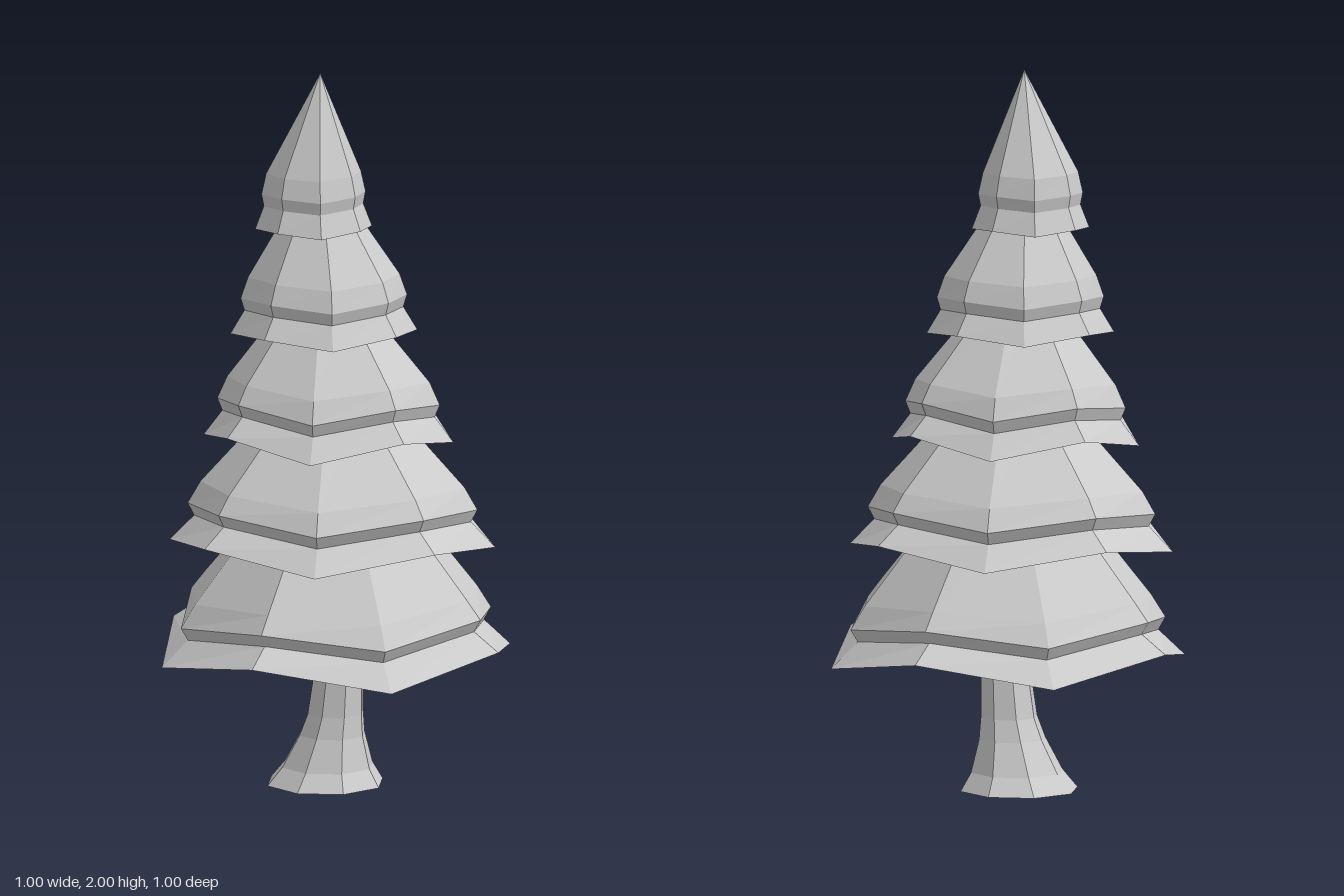
import * as THREE from 'three';

const SIDES = 8;
const material = new THREE.MeshStandardMaterial({ color: 0xcccccc, flatShading: true });

// Skin a stack of rings (counterclockwise from above, listed along the surface)
function loft(rings, name) {
  const positions = [];
  for (let j = 0; j < rings.length - 1; j++) {
    for (let i = 0; i < SIDES; i++) {
      const k = (i + 1) % SIDES;
      const a = rings[j][i], b = rings[j][k], c = rings[j + 1][k], d = rings[j + 1][i];
      positions.push(...a, ...b, ...c, ...a, ...c, ...d);
    }
  }
  const geometry = new THREE.BufferGeometry();
  geometry.setAttribute('position', new THREE.Float32BufferAttribute(positions, 3));
  geometry.computeVertexNormals();
  const mesh = new THREE.Mesh(geometry, material);
  mesh.name = name;
  return mesh;
}

// Eight-sided ring; turn in degrees, every other corner raised and the rest lowered by wave
function ring(radius, x, y, z, turn = 0, wave = 0) {
  return Array.from({ length: SIDES }, (_, i) => {
    const angle = (i / SIDES) * Math.PI * 2 + THREE.MathUtils.degToRad(turn);
    return [x + radius * Math.sin(angle), y + (i % 2 ? -wave : wave), z + radius * Math.cos(angle)];
  });
}

// Branch tier: hollow underside, drooping wavy rim, overhanging lip, shoulder and cone
function branchTier({ name, x, z, radius, y, turn, wave, topRadius, top }) {
  return loft([
    ring(0.03, x, y + radius * 0.3, z, turn),
    ring(radius, x, y, z, turn, wave),
    ring(radius * 0.85, x, y + 0.062, z, turn, wave * 0.65),
    ring(radius * 0.89, x, y + 0.096, z, turn, wave * 0.65),
    ring(radius * 0.81, x, y + 0.153, z, turn, wave * 0.4),
    ring(topRadius, ...top, turn),
  ], name);
}

// top is the centre of the uppermost ring
const tiers = [
  { name: 'lowestBranches', x: 0, z: 0, radius: 0.502, y: 0.385, turn: 0, wave: -0.03, topRadius: 0.175, top: [0, 0.82, 0] },
  { name: 'lowerBranches', x: -0.01, z: 0, radius: 0.45, y: 0.695, turn: 21, wave: 0.023, topRadius: 0.13, top: [-0.01, 1.1, 0] },
  { name: 'middleBranches', x: -0.02, z: -0.005, radius: 0.347, y: 0.99, turn: 19, wave: 0.023, topRadius: 0.095, top: [-0.03, 1.37, 0] },
  { name: 'upperBranches', x: -0.035, z: 0, radius: 0.258, y: 1.28, turn: -12, wave: -0.01, topRadius: 0.07, top: [-0.045, 1.65, 0] },
  { name: 'treetop', x: -0.06, z: -0.015, radius: 0.162, y: 1.567, turn: -10, wave: -0.005, topRadius: 0, top: [-0.048, 2, 0.008] },
];

// Trunk rings: radius, then x, y, z of the centre; flared at the root, bent above it
const trunkProfile = [[0, -0.03, 0, -0.005], [0.166, -0.03, 0, -0.005], [0.13, -0.025, 0.05, 0], [0.094, -0.015, 0.14, 0.012],
  [0.08, -0.008, 0.2, 0.02], [0.067, 0, 0.36, 0.032], [0.067, 0, 0.54, 0.032]];

export function createModel() {
  const group = new THREE.Group();
  group.name = 'firTree';
  group.add(loft(trunkProfile.map((section) => ring(...section)), 'trunk'));
  tiers.forEach((tier) => group.add(branchTier(tier)));
  return group;
}
